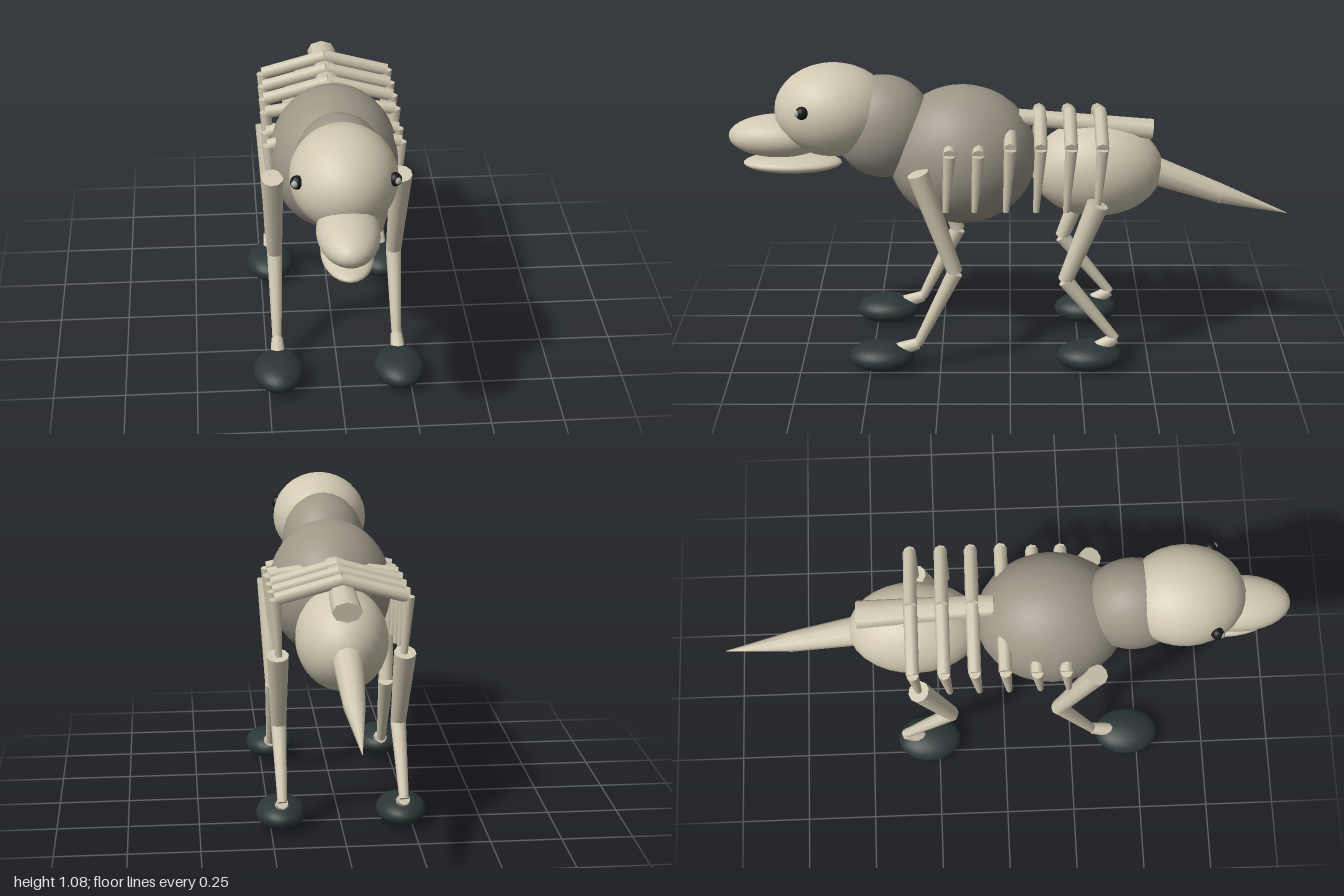
import * as THREE from 'three';

const mat = (name, color) => {
  const m = new THREE.MeshStandardMaterial({ color });
  m.name = name;
  return m;
};

export function createModel() {
  const bone = mat('bone', 0xd0c8b1);
  const hide = mat('hide', 0x9d9688);
  const paw = mat('paw', 0x2b3636);
  const black = mat('eye black', 0x161b1b);
  const glint = mat('eye glint', 0xa9aca0);

  const model = new THREE.Group();
  model.name = 'skeletalHound';

  const add = (name, geometry, material, parent = model) => {
    const mesh = new THREE.Mesh(geometry, material);
    mesh.name = name;
    parent.add(mesh);
    return mesh;
  };

  // Ellipsoid from centre and radii
  const blob = (name, centre, radii, material, parent) => {
    const mesh = add(name, new THREE.SphereGeometry(1, 28, 20), material, parent);
    mesh.position.set(...centre);
    mesh.scale.set(...radii);
    return mesh;
  };

  // Tapered rod from a (radius ra) to b (radius rb)
  const rod = (name, a, b, ra, rb, material, parent, sides = 10) => {
    const from = new THREE.Vector3(...a), to = new THREE.Vector3(...b);
    const dir = to.clone().sub(from);
    const mesh = add(name, new THREE.CylinderGeometry(rb, ra, dir.length(), sides), material, parent);
    mesh.position.copy(from).add(to).multiplyScalar(0.5);
    mesh.quaternion.setFromUnitVectors(new THREE.Vector3(0, 1, 0), dir.normalize());
    return mesh;
  };

  // Body masses
  blob('chest', [0, 0.745, 0.17], [0.225, 0.25, 0.265], hide);
  blob('neck', [0, 0.85, 0.45], [0.155, 0.185, 0.18], hide);
  blob('pelvis', [0, 0.692, -0.31], [0.16, 0.174, 0.235], bone);

  // Head
  blob('head', [0, 0.912, 0.625], [0.177, 0.165, 0.208], bone);
  blob('snout', [0, 0.815, 0.82], [0.102, 0.075, 0.18], bone);
  blob('lowerJaw', [0, 0.714, 0.776], [0.086, 0.031, 0.176], bone);

  // Spine bar and two-part tail
  const spine = rod('spine', [0, 0.885, -0.03], [0, 0.838, -0.505], 0.04, 0.052, bone, model, 8);
  spine.scale.z = 0.7;
  rod('tailBase', [0, 0.698, -0.47], [0, 0.594, -0.755], 0.056, 0.037, bone);
  rod('tailTip', [0, 0.594, -0.755], [0, 0.518, -1], 0.037, 0.001, bone);

  // Leg joints as [y, z] from top to foot
  const legs = [
    { name: 'frontLeg', hip: [0.748, 0.32], knee: [0.375, 0.195], ankle: [0.1, 0.33], toe: [0.075, 0.40], foot: 0.46 },
    { name: 'hindLeg', hip: [0.635, -0.305], knee: [0.345, -0.195], ankle: [0.12, -0.375], toe: [0.08, -0.31], foot: -0.285 },
  ];
  const ribs = [0.21, 0.11, 0, -0.105, -0.21, -0.318];

  for (const s of [1, -1]) {
    const side = s > 0 ? 'left' : 'right';

    for (const l of legs) {
      const leg = new THREE.Group();
      leg.name = `${side} ${l.name}`;
      model.add(leg);
      const hip = [s * 0.22, ...l.hip], knee = [s * 0.212, ...l.knee];
      const ankle = [s * 0.213, ...l.ankle], toe = [s * 0.213, ...l.toe];
      rod('upperLeg', hip, knee, 0.039, 0.027, bone, leg);
      rod('lowerLeg', knee, ankle, 0.028, 0.017, bone, leg);
      rod('ankle', ankle, toe, 0.021, 0.027, bone, leg);
      blob('foot', [s * 0.213, 0.054, l.foot], [0.088, 0.052, 0.117], paw, leg);
    }

    // Ribs: arm out from the spine, then a tapering drop
    ribs.forEach((z, i) => {
      const rib = new THREE.Group();
      rib.name = `${side} rib ${i + 1}`;
      model.add(rib);
      const elbowY = i < 2 ? 0.815 : 0.838;
      const elbow = [s * 0.228, elbowY, z];
      rod('ribArch', [0, i < 3 ? 0.87 : 0.9, z], elbow, 0.024, 0.023, bone, rib, 8);
      rod('ribDrop', elbow, [s * 0.215, 0.605, z + 0.015], 0.022, 0.011, bone, rib, 8);
    });

    // Eyes
    blob(`${side} eye`, [s * 0.156, 0.947, 0.72], [0.022, 0.023, 0.022], black);
    blob(`${side} eyeGlint`, [s * 0.163, 0.948, 0.733], [0.012, 0.013, 0.012], glint);
  }

  return model;
}
